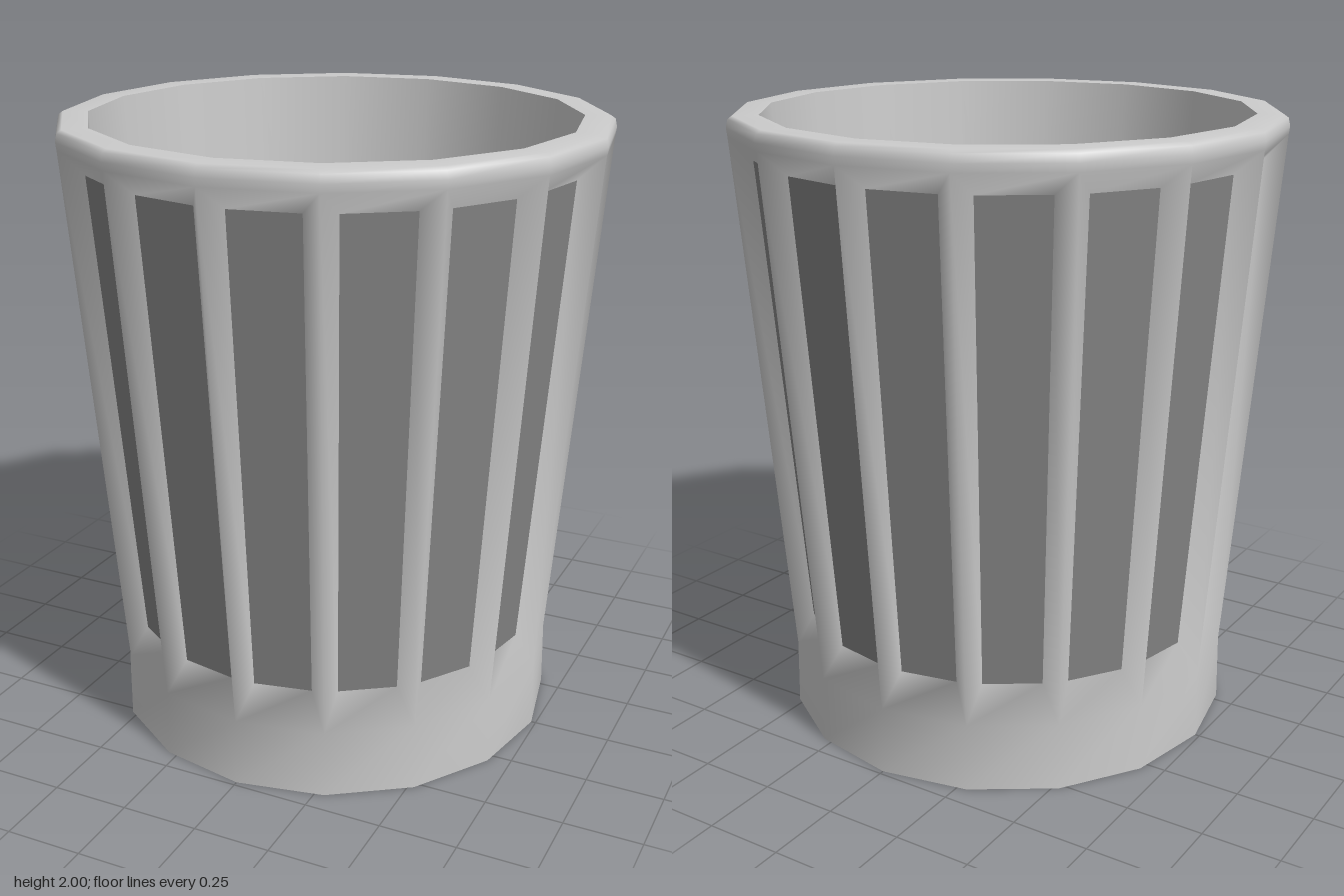
import * as THREE from 'three';

const SIDES = 16;
const STEP = (Math.PI * 2) / SIDES;
const INSET = 0.18; // share of a side taken by each sloped rib flank
const DEPTH = 0.055; // how far the panels sit behind the ribs

// outer profile [radius, height]; the recesses lie between rings 1 and 2
const PROFILE = [
  [0.735, 0], [0.732, 0.22], [0.872, 1.94], [0.875, 1.965], [0.869, 1.99], [0.855, 2], [0.775, 2],
];
const RECESS = 1;

const onRing = (r, y, i) => new THREE.Vector3(r * Math.sin(i * STEP), y, r * Math.cos(i * STEP));

// corners of the sunken panel on one side, anticlockwise from bottom left
function panelCorners(i) {
  const [[r0, y0], [r1, y1]] = [PROFILE[RECESS], PROFILE[RECESS + 1]];
  const a = (i + 0.5) * STEP;
  const inward = new THREE.Vector3(-Math.sin(a), 0, -Math.cos(a)).multiplyScalar(DEPTH);
  const corner = (y, t) => {
    const r = r0 + ((r1 - r0) * (y - y0)) / (y1 - y0);
    return onRing(r, y, i).lerp(onRing(r, y, i + 1), t).add(inward);
  };
  return [corner(0.34, INSET), corner(0.34, 1 - INSET), corner(1.87, 1 - INSET), corner(1.87, INSET)];
}

function meshFrom(name, points, index, material) {
  const g = new THREE.BufferGeometry().setFromPoints(points);
  g.setIndex(index);
  g.computeVertexNormals();
  const mesh = new THREE.Mesh(g, material);
  mesh.name = name;
  return mesh;
}

export function createModel() {
  const group = new THREE.Group();
  group.name = 'cup';
  const grey = new THREE.MeshStandardMaterial({ color: 0xcccccc });
  const dark = new THREE.MeshStandardMaterial({ color: 0x848484 });
  const quad = (list, a, b, c, d) => list.push(a, b, c, a, c, d);

  // ribbed outer wall with base band and rounded rim
  const points = [], index = [];
  const panelPoints = [], panelIndex = [];
  for (const [r, y] of PROFILE) for (let i = 0; i < SIDES; i++) points.push(onRing(r, y, i));
  for (let i = 0; i < SIDES; i++) {
    const j = (i + 1) % SIDES;
    for (let k = 0; k < PROFILE.length - 1; k++) {
      const outer = [k * SIDES + i, k * SIDES + j, (k + 1) * SIDES + j, (k + 1) * SIDES + i];
      if (k !== RECESS) {
        quad(index, ...outer);
        continue;
      }
      // four sloped flanks round the sunken panel
      const corners = panelCorners(i);
      const n = points.length, p = panelPoints.length;
      points.push(...corners);
      for (let e = 0; e < 4; e++) {
        const f = (e + 1) % 4;
        quad(index, outer[e], outer[f], n + f, n + e);
      }
      panelPoints.push(...corners);
      quad(panelIndex, p, p + 1, p + 2, p + 3);
    }
  }
  group.add(meshFrom('outerWall', points, index, grey));
  group.add(meshFrom('panels', panelPoints, panelIndex, dark));

  // inner wall, running downwards so it faces the axis
  const inner = new THREE.Mesh(
    new THREE.LatheGeometry([new THREE.Vector2(0.775, 2), new THREE.Vector2(0.655, 0.22)], SIDES), grey);
  inner.name = 'innerWall';
  group.add(inner);

  // floor inside and underside
  for (const [name, r, y, turn] of [['floor', 0.655, 0.22, -1], ['underside', 0.735, 0, 1]]) {
    const disc = new THREE.Mesh(new THREE.CircleGeometry(r, SIDES), grey);
    disc.name = name;
    disc.rotation.x = (turn * Math.PI) / 2;
    disc.position.y = y;
    group.add(disc);
  }
  return group;
}
